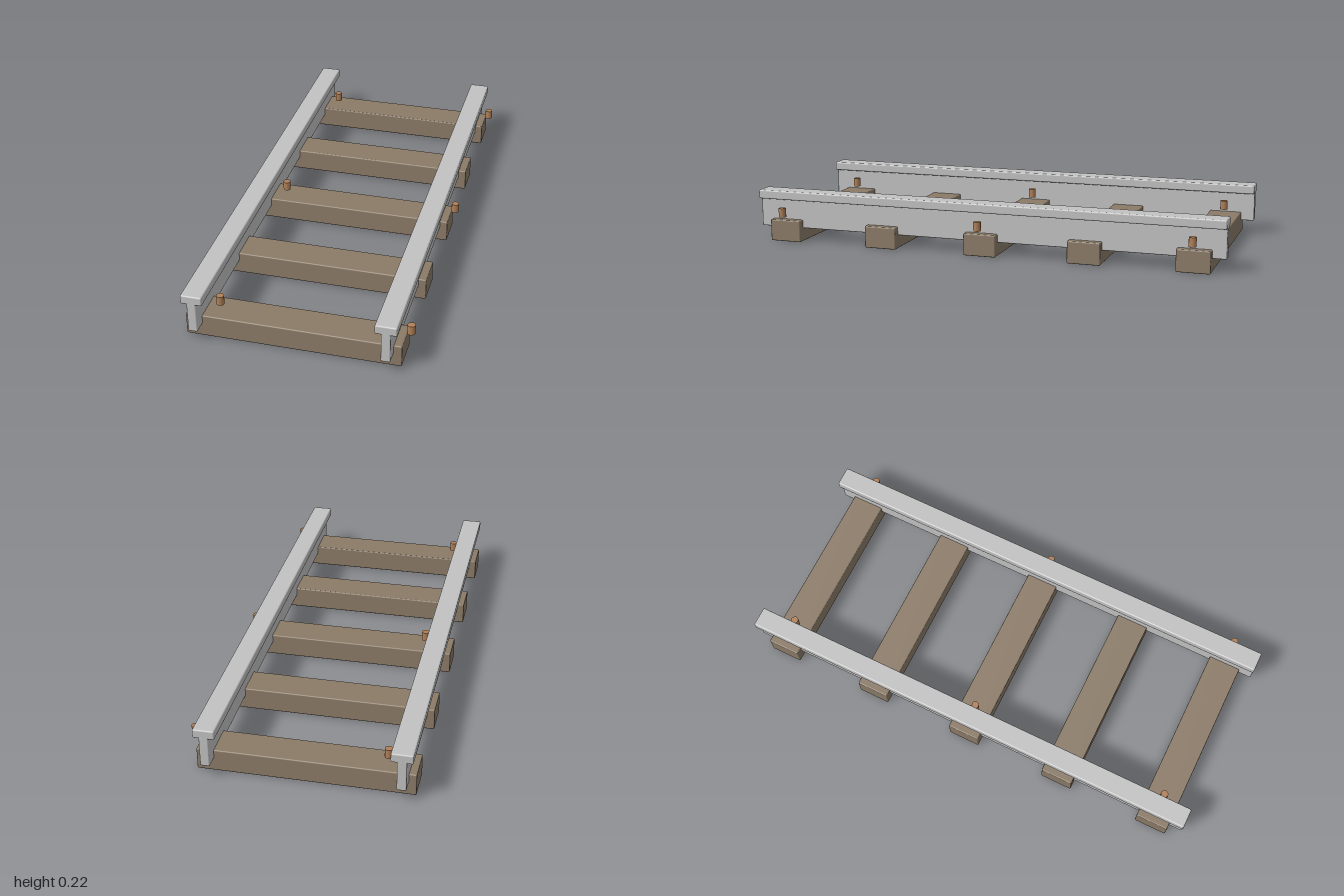
import * as THREE from 'three';
import { RoundedBoxGeometry } from 'three/addons/geometries/RoundedBoxGeometry.js';

function material(name, color) {
  const m = new THREE.MeshStandardMaterial({ color });
  m.name = name;
  return m;
}

export function createModel() {
  const model = new THREE.Group();
  model.name = 'trackSection';
  const steel = material('steel', 0xc2c2c2);
  const wood = material('weatheredWood', 0x8b7b68);
  const copper = material('copper', 0xb08058);

  const add = (parent, name, geometry, mat, x, y, z) => {
    const mesh = new THREE.Mesh(geometry, mat);
    mesh.name = name;
    mesh.position.set(x, y, z);
    parent.add(mesh);
  };

  // Sleepers, evenly spaced along the track
  const sleeper = new RoundedBoxGeometry(0.846, 0.092, 0.137, 2, 0.005);
  for (let i = -2; i <= 2; i++) {
    add(model, 'sleeper', sleeper, wood, -0.018, 0.046, i * 0.4375);
  }

  // Rails: narrow web under a wide head, with three spikes beside each
  const web = new RoundedBoxGeometry(0.037, 0.13, 2, 2, 0.005);
  const head = new RoundedBoxGeometry(0.085, 0.038, 2, 2, 0.006);
  const spike = new THREE.CylinderGeometry(0.0155, 0.0155, 0.038, 12);
  for (const [name, x] of [['rightRail', -0.393], ['leftRail', 0.355]]) {
    const rail = new THREE.Group();
    rail.name = name;
    rail.position.x = x;
    add(rail, 'railWeb', web, steel, 0, 0.121, 0);
    add(rail, 'railHead', head, steel, 0, 0.197, 0);
    for (const z of [-0.875, 0, 0.875]) {
      add(rail, 'spike', spike, copper, 0.07, 0.13, z);
    }
    model.add(rail);
  }
  return model;
}
